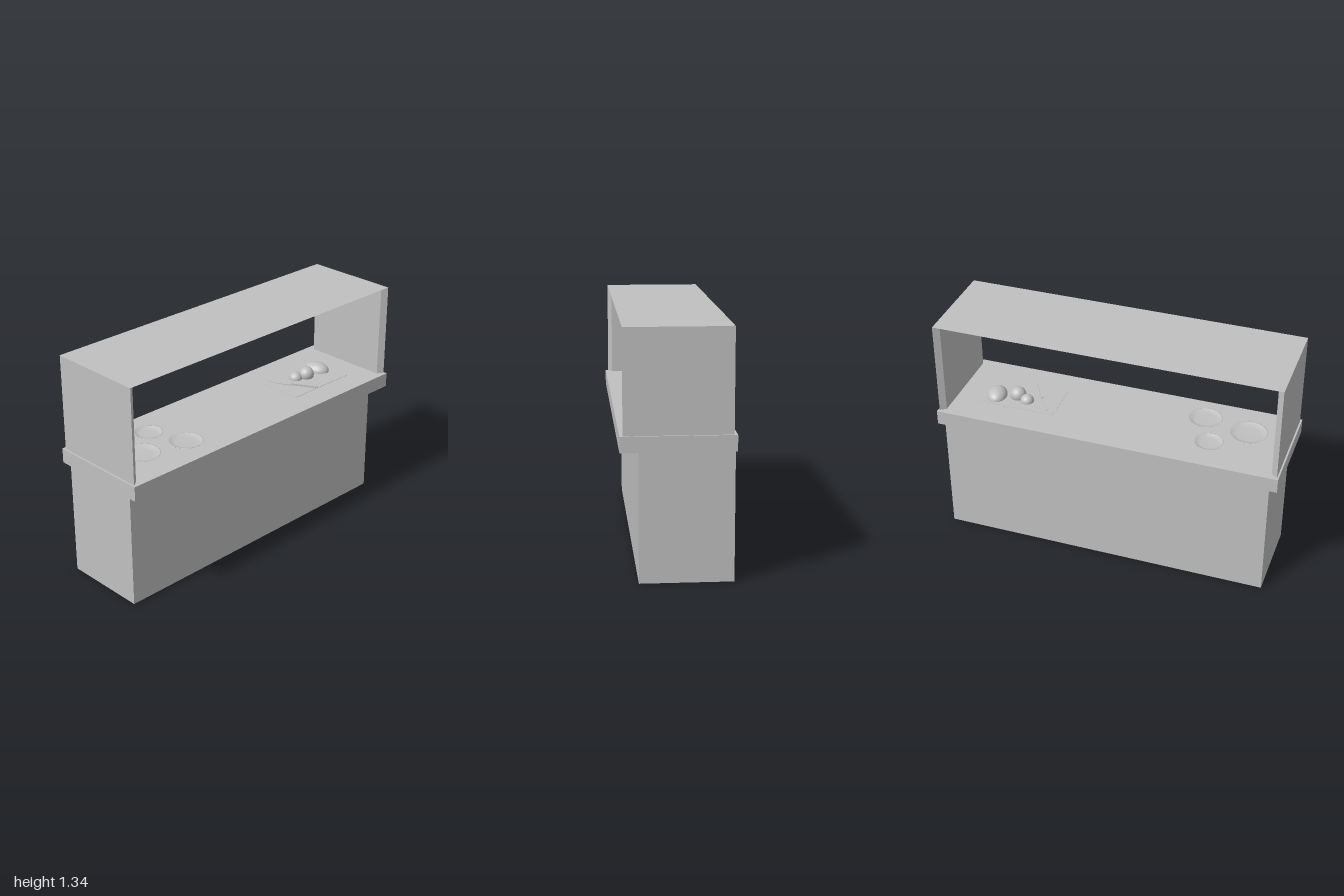
import * as THREE from 'three';

export function createModel() {
  const group = new THREE.Group();
  group.name = 'servingCounter';
  const grey = new THREE.MeshStandardMaterial({ color: 0xc0c0c0, side: THREE.DoubleSide });
  grey.name = 'plain grey';

  const add = (name, geometry, x = 0, y = 0, z = 0, parent = group) => {
    const mesh = new THREE.Mesh(geometry, grey);
    mesh.name = name;
    mesh.position.set(x, y, z);
    parent.add(mesh);
    return mesh;
  };

  // Cabinet set back on the +x side, with a wider worktop
  const topY = 0.785;
  add('cabinet', new THREE.BoxGeometry(0.495, 0.7, 1.91), -0.0475, 0.35, 0);
  add('worktop', new THREE.BoxGeometry(0.597, topY - 0.7, 2), -0.0015, (topY + 0.7) / 2, 0);

  // Guard: two end panels with bevelled edges, and a thin top sheet
  const guardTop = 1.334;
  for (const side of [1, -1]) {
    const outline = new THREE.Shape([
      [-0.283, 0.99], [0.281, 0.99], [0.257, 0.956], [-0.259, 0.956],
    ].map(([x, z]) => new THREE.Vector2(x, -z * side)));
    const panel = new THREE.ExtrudeGeometry(outline, { depth: guardTop - topY, bevelEnabled: false });
    panel.rotateX(-Math.PI / 2);
    add(side > 0 ? 'frontGuardPanel' : 'backGuardPanel', panel, 0, topY, 0);
  }
  const sheet = new THREE.PlaneGeometry(0.564, 1.98);
  sheet.rotateX(-Math.PI / 2);
  add('guardTop', sheet, -0.001, guardTop + 0.001, 0);

  // Shallow plates
  const plates = [[0.055, 0.748, 0.107], [0.117, 0.48, 0.097], [-0.1, 0.56, 0.081]];
  for (const [x, z, r] of plates) {
    const profile = [
      [0, 0.001], [0.6, 0.001], [0.98, 0.014], [1, 0.016], [0.96, 0.016], [0.8, 0.008], [0.6, 0.005], [0, 0.005],
    ].map(([u, h]) => new THREE.Vector2(u * r, h));
    add('plate', new THREE.LatheGeometry(profile, 40), x, topY, z);
  }

  // Chopping board, barely proud of the worktop
  add('choppingBoard', new THREE.BoxGeometry(0.27, 0.003, 0.45), 0.012, topY, -0.585);

  // Produce
  const ball = (name, x, y, z, sx, sy, sz) =>
    add(name, new THREE.SphereGeometry(1, 28, 18), x, y, z).scale.set(sx, sy, sz);
  ball('largeFruit', -0.01, 0.803, -0.615, 0.047, 0.047, 0.047);
  ball('smallFruit', -0.035, 0.789, -0.55, 0.04, 0.038, 0.04);
  const half = new THREE.SphereGeometry(1, 32, 12, 0, Math.PI * 2, 0, Math.PI / 2);
  const loaf = add('halfMelon', half, -0.033, topY + 0.001, -0.737);
  loaf.scale.set(0.077, 0.048, 0.058);
  loaf.rotation.y = 0.2;

  // Knife lying across the board
  const knife = new THREE.Group();
  knife.name = 'knife';
  knife.position.set(-0.113, topY + 0.003, -0.4);
  knife.rotation.y = 0.515;
  group.add(knife);
  const blade = new THREE.Shape();
  blade.moveTo(0, 0);
  blade.quadraticCurveTo(0.05, -0.022, 0.14, -0.02);
  blade.lineTo(0.14, 0.01);
  blade.lineTo(0, 0);
  const bladeGeometry = new THREE.ExtrudeGeometry(blade, { depth: 0.004, bevelEnabled: false });
  bladeGeometry.rotateX(-Math.PI / 2);
  add('knifeBlade', bladeGeometry, 0, 0.002, 0, knife);
  add('knifeHandle', new THREE.BoxGeometry(0.16, 0.011, 0.018), 0.22, 0.0045, 0, knife);

  return group;
}
